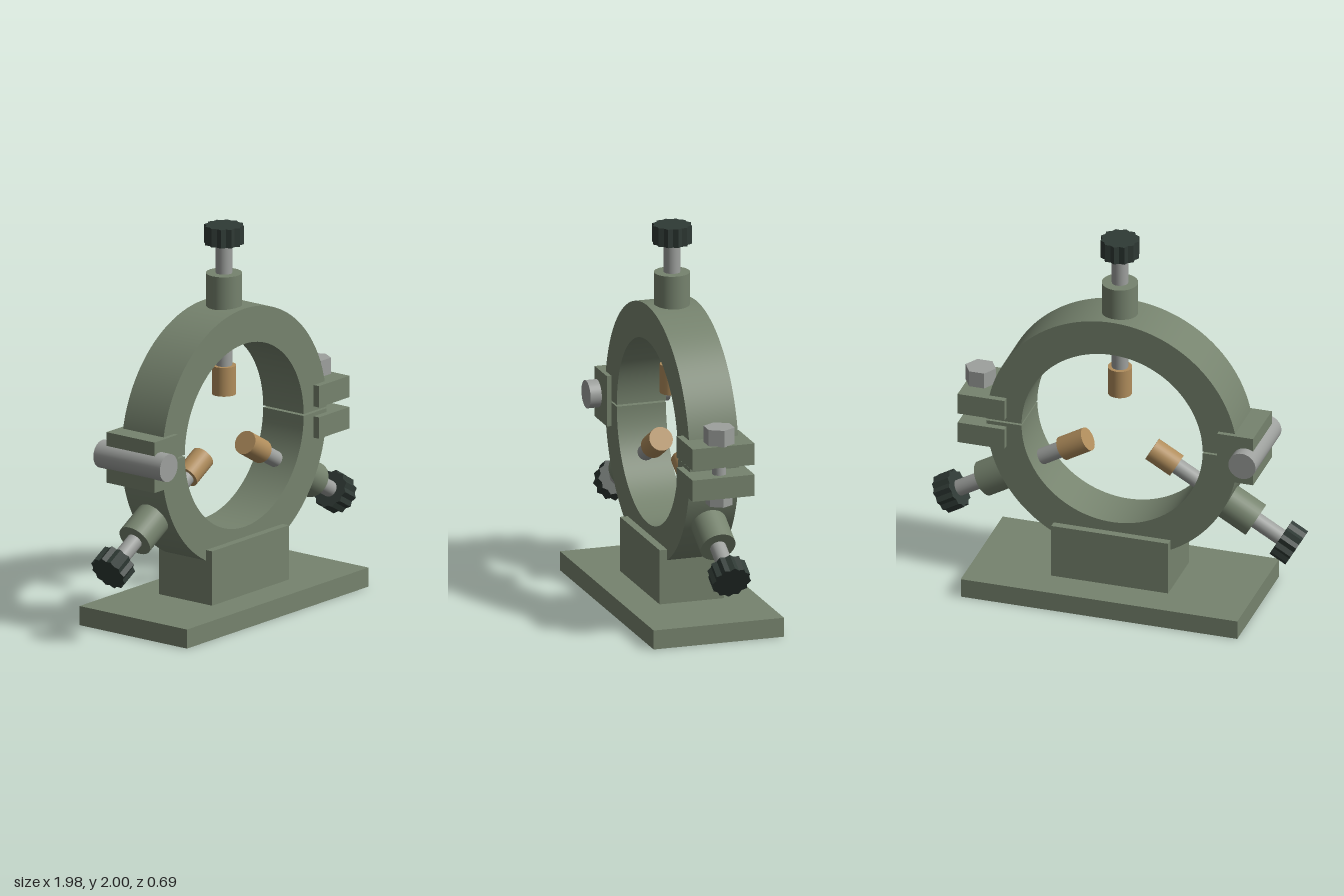
import * as THREE from 'three';
import { toCreasedNormals } from 'three/addons/utils/BufferGeometryUtils.js';

const paint = (color) => new THREE.MeshStandardMaterial({ color });
const CENTRE = 0.918, OUTER = 0.665, INNER = 0.48;

export function createModel() {
  const model = new THREE.Group();
  const green = paint(0x76836e), steel = paint(0x9da09d), dark = paint(0x2f3a35), brass = paint(0xb08d5c);

  const add = (parent, name, geometry, material, x = 0, y = 0, z = 0) => {
    const mesh = new THREE.Mesh(geometry, material);
    mesh.name = name;
    mesh.position.set(x, y, z);
    parent.add(mesh);
    return mesh;
  };
  // Box given by its x and y limits, centred on z = 0
  const slab = (name, x0, x1, y0, y1, depth) =>
    add(model, name, new THREE.BoxGeometry(x1 - x0, y1 - y0, depth), green, (x0 + x1) / 2, (y0 + y1) / 2);
  // Upright cylinder between two heights
  const rod = (parent, name, r, y0, y1, material, sides = 32, x = 0) => {
    let g = new THREE.CylinderGeometry(r, r, y1 - y0, sides);
    if (sides < 12) g = toCreasedNormals(g, 0.5);
    return add(parent, name, g, material, x, (y0 + y1) / 2);
  };

  // Base and pedestal
  slab('base', -0.733, 0.733, 0, 0.1, 0.695);
  slab('pedestal', -0.31, 0.31, 0.1, 0.385, 0.343);

  // Split ring: two half rings with a narrow gap
  const a = Math.asin(0.005 / OUTER), b = Math.asin(0.005 / INNER);
  const half = new THREE.Shape();
  half.absarc(0, 0, OUTER, a, Math.PI - a, false);
  half.absarc(0, 0, INNER, Math.PI - b, b, true);
  half.closePath();
  const halfGeometry = toCreasedNormals(
    new THREE.ExtrudeGeometry(half, { depth: 0.262, bevelEnabled: false, curveSegments: 40 }).translate(0, 0, -0.131), 0.5);
  add(model, 'upperRing', halfGeometry, green, 0, CENTRE);
  add(model, 'lowerRing', halfGeometry, green, 0, CENTRE).rotation.z = Math.PI;

  // Hinge
  slab('hingeBlock', -0.755, -0.565, 0.787, 1.052, 0.31);
  add(model, 'hingePin', new THREE.CylinderGeometry(0.072, 0.072, 0.43, 32), steel, -0.715, 0.92)
    .rotation.x = Math.PI / 2;

  // Clamp lugs and bolt
  slab('upperLug', 0.56, 0.808, 0.946, 1.058, 0.331);
  slab('lowerLug', 0.56, 0.808, 0.782, 0.894, 0.331);
  rod(model, 'clampBolt', 0.035, 0.74, 1.1, steel, 24, 0.738);
  const head = rod(model, 'boltHead', 0.08, 1.055, 1.143, steel, 6, 0.738);
  const nut = rod(model, 'boltNut', 0.07, 0.735, 0.785, steel, 6, 0.738);
  head.rotation.y = nut.rotation.y = Math.PI / 6;

  // Fluted knob outline
  const flutes = 12;
  const outline = new THREE.Shape(Array.from({ length: flutes * 2 }, (_, i) => {
    const r = i % 2 ? 0.089 : 0.102, t = (i * Math.PI) / flutes;
    return new THREE.Vector2(r * Math.cos(t), r * Math.sin(t));
  }));
  const knobGeometry = new THREE.ExtrudeGeometry(outline, { depth: 0.097, bevelEnabled: false })
    .rotateX(-Math.PI / 2);

  // Three adjustable jaws, spaced evenly round the ring
  ['topJaw', 'rightJaw', 'leftJaw'].forEach((name, i) => {
    const jaw = new THREE.Group();
    jaw.name = name;
    jaw.position.y = CENTRE;
    jaw.rotation.z = (i * Math.PI * 2) / 3;
    rod(jaw, 'collar', 0.092, 0.62, 0.832, green);
    rod(jaw, 'screw', 0.042, 0.33, 1.0, steel, 24);
    rod(jaw, 'brassTip', 0.062, 0.197, 0.348, brass);
    add(jaw, 'knob', knobGeometry, dark, 0, 0.985);
    model.add(jaw);
  });

  return model;
}
